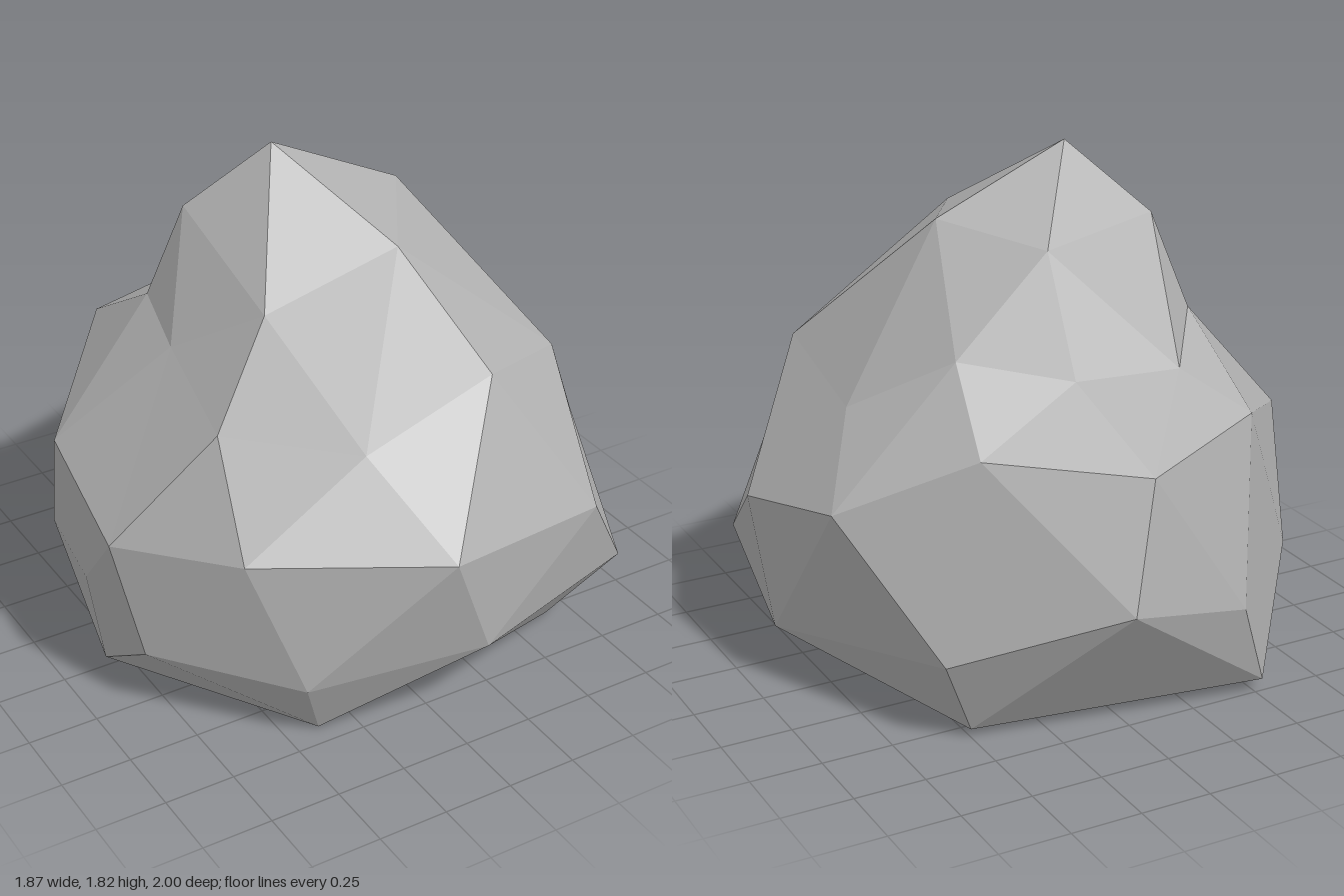
import * as THREE from 'three';

// Rings of the boulder from top to bottom, each running from the left (+x) round past the front (+z)
const top = [-0.14, 1.82, -0.03];
const crown = [[0.325, 1.6, 0], [0.1, 1.55, 0.365], [-0.41, 1.45, 0.39], [-0.38, 1.58, -0.2], [0.08, 1.54, -0.32]];
const shoulder = [
  [0.68, 1.015, -0.04], [0.64, 1.1, 0.5], [0.29, 1.16, 0.65], [-0.19, 1.0, 0.65], [-0.63, 1.12, 0.47],
  [-0.57, 1.22, 0.05], [-0.49, 1.25, -0.27], [-0.3, 1.14, -0.53], [0.09, 1.16, -0.53], [0.42, 1.22, -0.33],
];
const belly = [
  [0.93, 0.64, 0.25], [0.6, 0.655, 0.85], [-0.06, 0.735, 1.0], [-0.64, 0.725, 0.65], [-0.94, 0.705, 0.29],
  [-0.885, 0.82, -0.22], [-0.49, 1.0, -0.68], [0.01, 0.945, -0.9], [0.47, 0.98, -0.6], [0.86, 0.765, -0.31],
];
const skirt = [
  [0.81, 0.32, 0.73], [0.1, 0.34, 0.96], [-0.48, 0.25, 0.77], [-0.85, 0.27, 0.34], [-0.91, 0.42, 0.03],
  [-0.82, 0.365, -0.42], [-0.36, 0.4, -0.88], [0.13, 0.53, -1.0], [0.62, 0.31, -0.64], [0.88, 0.17, 0.17],
];
const foot = [[0.645, 0.015, 0.55], [-0.385, 0.01, 0.68], [-0.83, 0.02, -0.02], [-0.52, 0.05, -0.76], [0.5, 0.03, -0.575]];
const bottom = [-0.02, 0, 0];

// Joins the rings with facets in the pattern of a once-divided icosahedron
function boulderGeometry() {
  const positions = [];
  const tri = (a, b, c) => positions.push(...a, ...b, ...c);
  const at = (ring, i) => ring[(i + ring.length) % ring.length];

  for (let i = 0; i < 5; i++) {
    const k = 2 * i;
    // peak and crown
    tri(top, at(crown, i + 1), crown[i]);
    tri(crown[i], shoulder[k + 1], shoulder[k]);
    tri(crown[i], shoulder[k], at(shoulder, k - 1));
    tri(crown[i], at(crown, i + 1), shoulder[k + 1]);
    // foot and underside
    tri(at(skirt, k - 1), skirt[k], foot[i]);
    tri(skirt[k], skirt[k + 1], foot[i]);
    tri(skirt[k + 1], at(foot, i + 1), foot[i]);
    tri(bottom, foot[i], at(foot, i + 1));
  }
  // sides
  for (let k = 0; k < 10; k++) {
    tri(shoulder[k], belly[k], at(belly, k - 1));
    tri(shoulder[k], at(shoulder, k + 1), belly[k]);
    tri(belly[k], at(belly, k + 1), skirt[k]);
    tri(at(belly, k + 1), at(skirt, k + 1), skirt[k]);
  }

  const geometry = new THREE.BufferGeometry();
  geometry.setAttribute('position', new THREE.Float32BufferAttribute(positions, 3));
  geometry.computeVertexNormals();
  return geometry;
}

export function createModel() {
  const stone = new THREE.MeshStandardMaterial({ color: 0xb0b0b0 });
  stone.name = 'stoneGrey';
  stone.flatShading = true;

  const boulder = new THREE.Mesh(boulderGeometry(), stone);
  boulder.name = 'boulder';

  const model = new THREE.Group();
  model.name = 'rock';
  model.add(boulder);
  return model;
}
